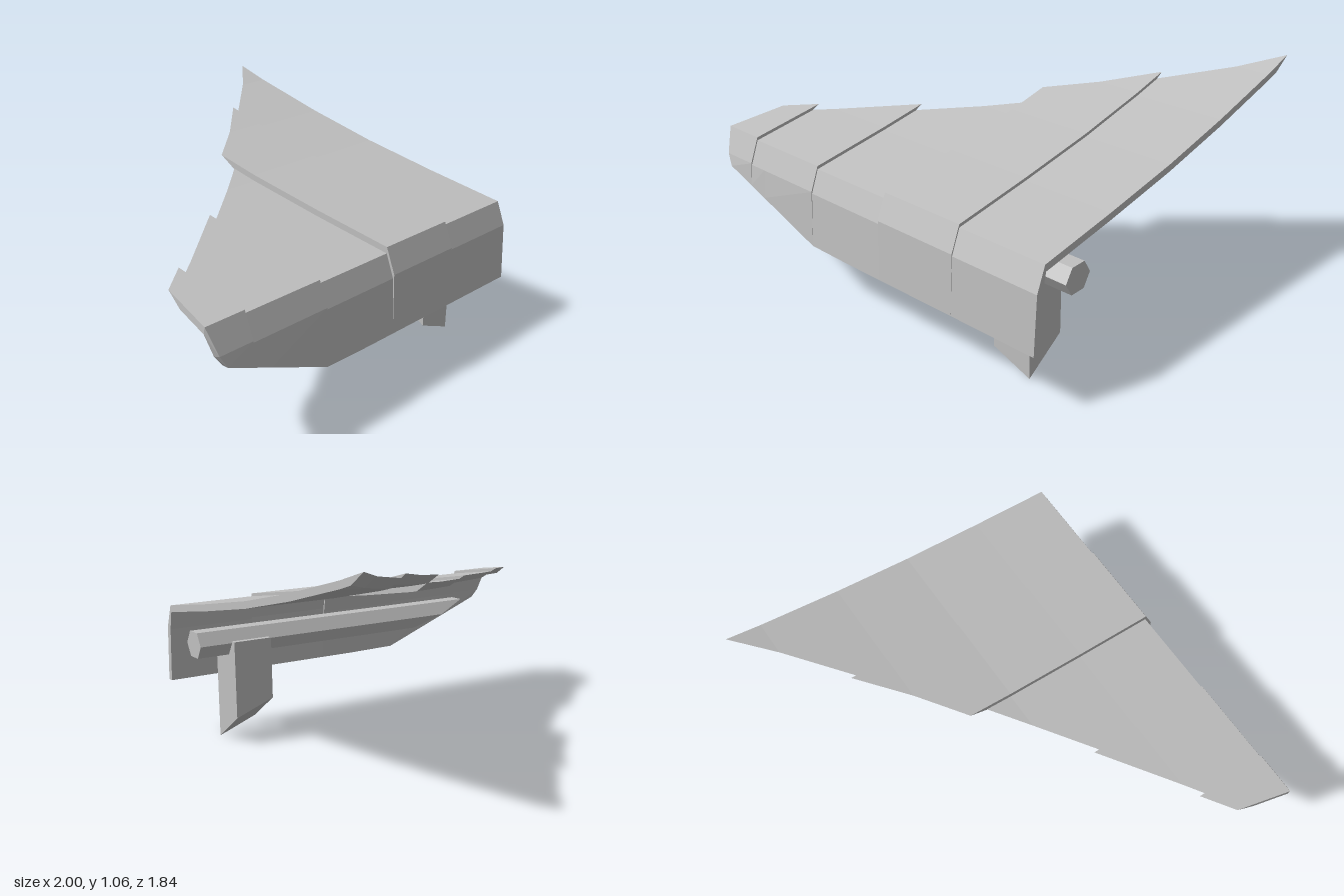
import * as THREE from 'three';

const grey = new THREE.MeshStandardMaterial({ color: 0xc0c0c0 });
grey.name = 'plain grey';

// Height of the upper skin along the depth, as straight facets
const KNOTS = [[0.86, 0.69], [0.45, 0.755], [0.04, 0.828], [-0.35, 0.915], [-0.75, 1.02], [-0.92, 1.073]];
function skinHeight(z) {
  let i = 0;
  while (i < KNOTS.length - 2 && z < KNOTS[i + 1][0]) i++;
  const [z0, y0] = KNOTS[i], [z1, y1] = KNOTS[i + 1];
  return y0 + (y1 - y0) * (z - z0) / (z1 - z0);
}

// Lower edge of the front wall: level, then rising towards the narrow end
const wallBottom = (x) => 0.285 + Math.max(0, -0.33 - x) * 0.38;

function flat(geometry) {
  const g = geometry.index ? geometry.toNonIndexed() : geometry;
  g.computeVertexNormals();
  return g;
}

function named(name, geometry) {
  const mesh = new THREE.Mesh(flat(geometry), grey);
  mesh.name = name;
  return mesh;
}

// Closed cross-section: up the wall, back along the skin, then return inside
function section({ x, back, slanted }, drop) {
  const outer = [], inner = [];
  const xAt = (z) => (slanted ? x + (0.86 - z) * 0.236 : x);
  const kneeX = slanted ? x + 0.032 : x;
  const footX = slanted ? x + 0.065 : x;
  const foot = wallBottom(footX);
  outer.push([footX, foot, 0.92], [kneeX, 0.57 + drop * 0.6, 0.908 + drop * 0.2]);
  inner.push([footX, foot, 0.888], [kneeX, 0.56 + drop * 0.6, 0.876 + drop * 0.2]);
  KNOTS.forEach(([knot], i) => {
    const top = i === KNOTS.length - 1 ? back : Math.max(knot, back);
    const under = Math.min(0.853, Math.max(top, back + 0.09));
    outer.push([xAt(top), skinHeight(top) + drop, top]);
    inner.push([xAt(under), skinHeight(under) + drop - 0.034, under]);
  });
  return [...outer, ...inner.reverse()];
}

// Bent plate lofted through its cross-sections, closed at both ends
function panelGeometry(columns, drop) {
  const loops = columns.map((c) => section(c, drop));
  const n = loops[0].length, pos = [];
  const quad = (a, b, c, d) => pos.push(...a, ...b, ...c, ...a, ...c, ...d);
  for (let i = 0; i < loops.length - 1; i++) {
    const p = loops[i], q = loops[i + 1];
    for (let j = 0; j < n; j++) {
      const k = (j + 1) % n;
      quad(p[j], q[j], q[k], p[k]);
    }
  }
  const first = loops[0], last = loops[loops.length - 1];
  for (let j = 0; j < n / 2 - 1; j++) {
    const m = n - 1 - j;
    quad(last[j], last[m], last[m - 1], last[j + 1]);
    quad(first[j], first[j + 1], first[m - 1], first[m]);
  }
  const g = new THREE.BufferGeometry();
  g.setAttribute('position', new THREE.Float32BufferAttribute(pos, 3));
  return g;
}

// Move every vertex of a geometry by a rule
function reshape(geometry, rule) {
  const p = geometry.attributes.position, v = new THREE.Vector3();
  for (let i = 0; i < p.count; i++) {
    v.fromBufferAttribute(p, i);
    rule(v);
    p.setXYZ(i, v.x, v.y, v.z);
  }
  return geometry;
}

export function createModel() {
  const group = new THREE.Group();
  group.name = 'panelledWing';

  // Five overlapping panels, stepped up and down from each other
  const panels = [
    { name: 'tipPanel', drop: 0, columns: [{ x: -1, back: 0.585, slanted: true }, { x: -0.785, back: 0.48 }] },
    { name: 'outerPanel', drop: -0.015, columns: [{ x: -0.785, back: 0.515 }, { x: -0.69, back: 0.45 }, { x: -0.34, back: 0.2 }] },
    { name: 'middlePanel', drop: -0.03, columns: [{ x: -0.34, back: 0.235 }, { x: -0.07, back: 0.04 }, { x: 0.11, back: -0.095 }] },
    { name: 'innerPanel', drop: 0, columns: [{ x: 0.11, back: -0.185 }, { x: 0.33, back: -0.35 }, { x: 0.55, back: -0.545 }] },
    { name: 'rootPanel', drop: -0.015, columns: [{ x: 0.55, back: -0.51 }, { x: 0.83, back: -0.75 }, { x: 1, back: -0.92 }] },
  ];
  for (const { name, drop, columns } of panels) group.add(named(name, panelGeometry(columns, drop)));

  // Six-sided beam behind the wall, cut at a slant at its far end
  const beam = new THREE.CylinderGeometry(0.0775, 0.0775, 2, 6).rotateZ(Math.PI / 2);
  reshape(beam, (v) => {
    const y = 0.512 + v.y * 0.94;
    v.set(v.x > 0 ? 0.985 : -0.3 - (y - 0.449) * 2.56, y, v.z + 0.633);
  });
  group.add(named('beam', beam));

  // Square post with its foot cut at a slant both ways
  const post = new THREE.BoxGeometry(0.2, 1, 0.2);
  reshape(post, (v) => {
    v.x += 0.72;
    v.z += 0.63;
    v.y = v.y > 0 ? 0.52 : (0.82 - v.x) * 0.38 + (0.73 - v.z) * 0.68;
  });
  group.add(named('post', post));

  return group;
}
